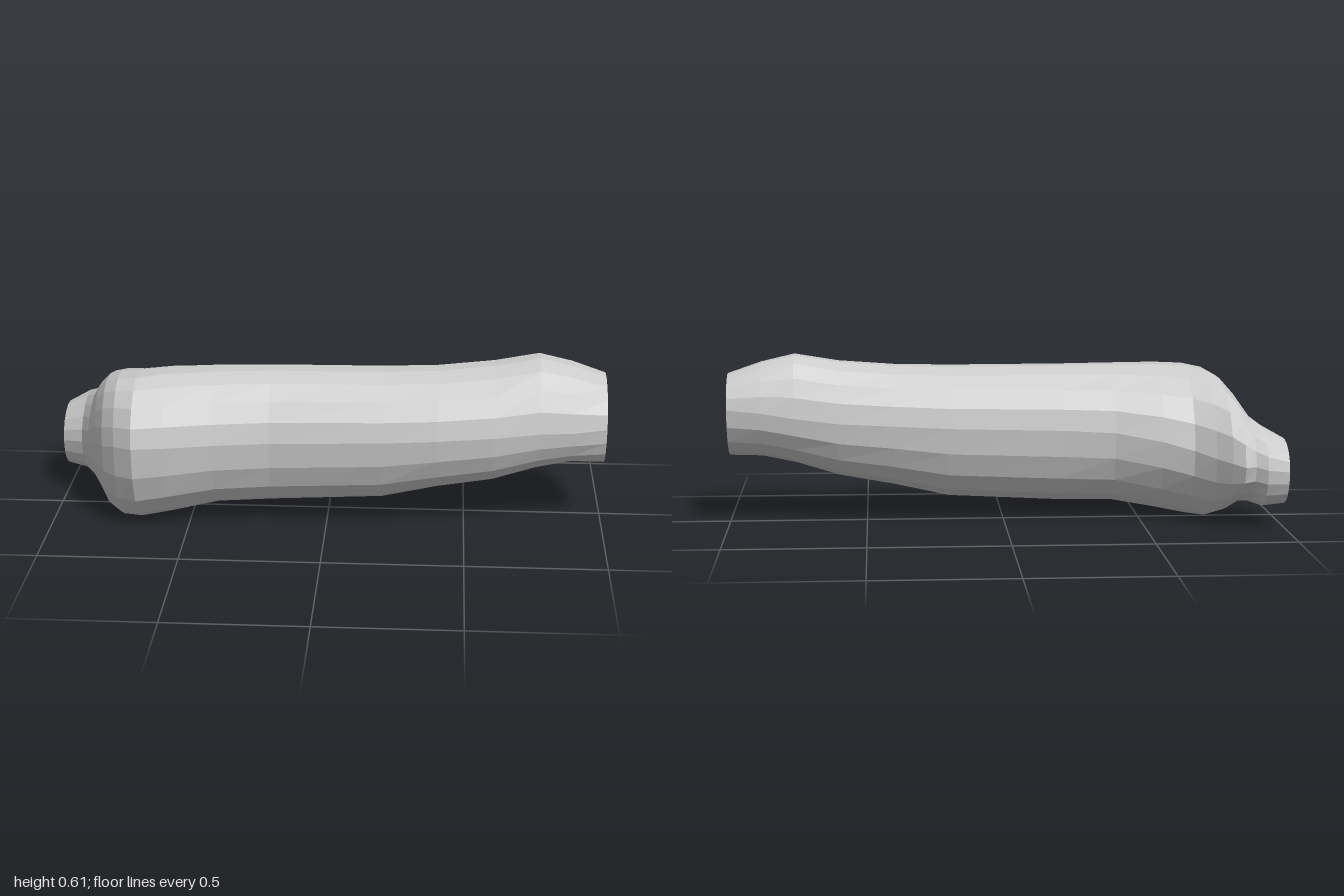
import * as THREE from 'three';

// Cross-sections along x: [x, bottom y, top y, back z, front z,
//   z of lowest point, z of highest point, y of frontmost point, y of rearmost point]
const SECTIONS = [
  [-1.0, 0.09, 0.325, -0.33, -0.07, -0.21, -0.2, 0.22, 0.22],
  [-0.92, 0.08, 0.37, -0.347, -0.01, -0.2, -0.2, 0.24, 0.23],
  [-0.88, 0.085, 0.4, -0.33, 0.08, -0.12, -0.12, 0.27, 0.24],
  [-0.84, 0.07, 0.47, -0.345, 0.16, -0.02, 0.01, 0.3, 0.24],
  [-0.8, 0.025, 0.52, -0.315, 0.24, 0.04, 0.07, 0.32, 0.25],
  [-0.75, 0.0, 0.547, -0.265, 0.295, 0.07, 0.11, 0.34, 0.26],
  [-0.68, 0.005, 0.56, -0.21, 0.345, 0.09, 0.13, 0.35, 0.28],
  [-0.57, 0.027, 0.568, -0.188, 0.328, 0.09, 0.1, 0.35, 0.31],
  [-0.4, 0.06, 0.57, -0.155, 0.29, 0.07, 0.07, 0.35, 0.34],
  [-0.2, 0.065, 0.57, -0.15, 0.257, 0.05, 0.05, 0.35, 0.35],
  [0.2, 0.085, 0.57, -0.15, 0.255, 0.05, 0.04, 0.36, 0.36],
  [0.4, 0.13, 0.575, -0.145, 0.253, 0.05, 0.03, 0.37, 0.37],
  [0.6, 0.165, 0.592, -0.142, 0.237, 0.06, 0.01, 0.38, 0.38],
  [0.76, 0.215, 0.62, -0.14, 0.212, 0.06, 0.0, 0.39, 0.4],
  [0.88, 0.24, 0.592, -0.135, 0.195, 0.06, 0.0, 0.39, 0.42],
  [1.0, 0.242, 0.55, -0.12, 0.18, 0.07, 0.0, 0.4, 0.43],
];
const SIDES = 18;

// One ring: four elliptical quadrants meeting at the extreme points
function ring([x, y0, y1, z0, z1, zLow, zHigh, yFront, yBack]) {
  return Array.from({ length: SIDES }, (_, i) => {
    const a = (i / SIDES) * Math.PI * 2;
    const c = Math.cos(a), s = Math.sin(a);
    const cy = c >= 0 ? yFront : yBack;
    const cz = s >= 0 ? zHigh : zLow;
    return [
      x,
      cy + Math.abs(s) * ((s >= 0 ? y1 : y0) - cy),
      cz + Math.abs(c) * ((c >= 0 ? z1 : z0) - cz),
    ];
  });
}

function loft(rings) {
  const pos = [];
  const tri = (a, b, c) => pos.push(...a, ...b, ...c);
  for (let r = 0; r < rings.length - 1; r++) {
    for (let i = 0; i < SIDES; i++) {
      const j = (i + 1) % SIDES;
      const a = rings[r][i], b = rings[r + 1][i], c = rings[r + 1][j], d = rings[r][j];
      tri(a, b, c);
      tri(a, c, d);
    }
  }
  return toGeometry(pos);
}

// Flat cut across a ring, facing +x or -x
function cut(points, facing) {
  const pos = [];
  for (let i = 1; i < SIDES - 1; i++) {
    const [b, c] = facing > 0 ? [points[i + 1], points[i]] : [points[i], points[i + 1]];
    pos.push(...points[0], ...b, ...c);
  }
  return toGeometry(pos);
}

function toGeometry(pos) {
  const g = new THREE.BufferGeometry();
  g.setAttribute('position', new THREE.Float32BufferAttribute(pos, 3));
  g.computeVertexNormals();
  return g;
}

export function createModel() {
  const group = new THREE.Group();
  const material = new THREE.MeshStandardMaterial({ color: 0xcccccc, flatShading: true });
  const add = (name, geometry) => {
    const mesh = new THREE.Mesh(geometry, material);
    mesh.name = name;
    group.add(mesh);
  };

  const rings = SECTIONS.map(ring);
  const neck = 5; // ring where the narrow stub meets the thick shaft
  add('stub', loft(rings.slice(0, neck + 1)));
  add('shaft', loft(rings.slice(neck)));
  add('stubCut', cut(rings[0], -1));
  add('shaftCut', cut(rings[rings.length - 1], 1));
  return group;
}
